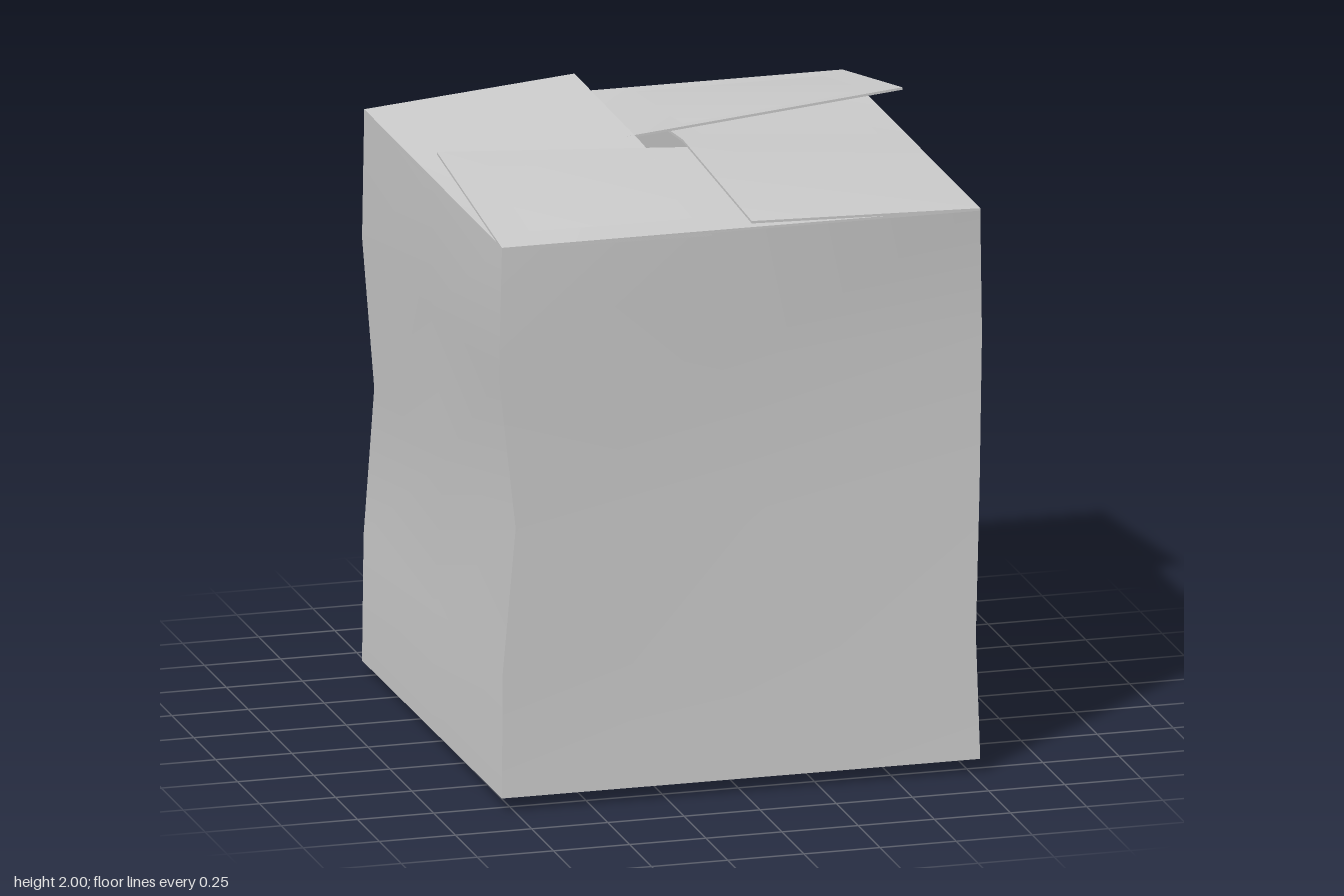
import * as THREE from 'three';
import { mergeGeometries, toCreasedNormals } from 'three/addons/utils/BufferGeometryUtils.js';

const V = (x, y, z) => new THREE.Vector3(x, y, z);
const mid = (a, b) => a.clone().lerp(b, 0.5);

// Surface through rows of points, each row running left to right, rows going up
function sheet(rows) {
  const n = rows[0].length, index = [];
  for (let j = 0; j < rows.length - 1; j++) {
    for (let i = 0; i < n - 1; i++) {
      const a = j * n + i, d = a + n;
      index.push(a, a + 1, d + 1, a, d + 1, d);
    }
  }
  const g = new THREE.BufferGeometry().setFromPoints(rows.flat());
  g.setIndex(index);
  g.computeVertexNormals();
  return g;
}

// Corner edges of the crumpled carton, from bottom to top
const corners = {
  frontLeft: [V(-0.79, 0.045, 0.8), V(-0.785, 0.45, 0.79), V(-0.745, 0.93, 0.8), V(-0.8, 1.43, 0.8), V(-0.79, 1.86, 0.8)],
  frontRight: [V(0.78, 0.045, 0.8), V(0.77, 0.45, 0.785), V(0.785, 0.93, 0.775), V(0.8, 1.43, 0.75), V(0.78, 1.86, 0.8)],
  backRight: [V(0.78, 0, -0.775), V(0.77, 0.45, -0.765), V(0.785, 0.93, -0.8), V(0.785, 1.43, -0.8), V(0.78, 1.86, -0.775)],
  backLeft: [V(-0.79, 0.035, -0.8), V(-0.785, 0.45, -0.8), V(-0.75, 0.93, -0.8), V(-0.79, 1.43, -0.8), V(-0.79, 1.86, -0.775)],
};

// Each side seen from outside: its two corners, the sag of the bottom edge,
// the flap's reach inward and the heights along the flap's free edge
const sides = [
  { name: 'front', a: 'frontLeft', b: 'frontRight', base: 0.045, reach: V(0, 0, -0.745), free: [1.96, 1.91, 1.85] },
  { name: 'plusX', a: 'frontRight', b: 'backRight', base: 0, reach: V(-0.75, 0, 0), free: [1.88, 1.92, 1.85] },
  { name: 'back', a: 'backRight', b: 'backLeft', base: 0, reach: V(0, 0, 0.685), free: [2.0, 1.925, 1.85] },
  { name: 'minusX', a: 'backLeft', b: 'frontLeft', base: 0.04, reach: V(0.69, 0, 0), free: [1.92, 1.915, 1.85] },
];

// Thin bent board hinged on the rim
function flapGeometry(hinge, reach, heights) {
  const lower = (p) => p.clone().add(V(0, -0.008, 0));
  const free = hinge.map((p, i) => p.clone().add(reach).setY(heights[i]));
  const hingeLow = hinge.map(lower), freeLow = free.map(lower), e = hinge.length - 1;
  const g = mergeGeometries([
    sheet([hingeLow, hinge, free, freeLow, hingeLow]),
    sheet([[freeLow[0], hingeLow[0]], [free[0], hinge[0]]]),
    sheet([[hingeLow[e], freeLow[e]], [hinge[e], free[e]]]),
  ]);
  return toCreasedNormals(g, 0.5);
}

export function createModel() {
  const model = new THREE.Group();
  model.name = 'cardboardBox';
  const material = new THREE.MeshStandardMaterial({ color: 0xcccccc, side: THREE.DoubleSide });
  const add = (name, geometry) => {
    const mesh = new THREE.Mesh(geometry, material);
    mesh.name = name;
    model.add(mesh);
  };

  // Walls and the four flaps folded in a pinwheel
  const baseMid = {};
  for (const s of sides) {
    const rows = corners[s.a].map((p, j) => [p, mid(p, corners[s.b][j]), corners[s.b][j]]);
    rows[0][1].y = s.base;
    baseMid[s.name] = rows[0][1];
    add(s.name + 'Wall', sheet(rows));
    add(s.name + 'Flap', flapGeometry(rows[rows.length - 1], s.reach, s.free));
  }

  // Bottom, facing down
  const { frontLeft, frontRight, backRight, backLeft } = corners;
  add('bottom', sheet([
    [backLeft[0], baseMid.back, backRight[0]],
    [baseMid.minusX, V(0, 0.01, 0), baseMid.plusX],
    [frontLeft[0], baseMid.front, frontRight[0]],
  ]));
  return model;
}
